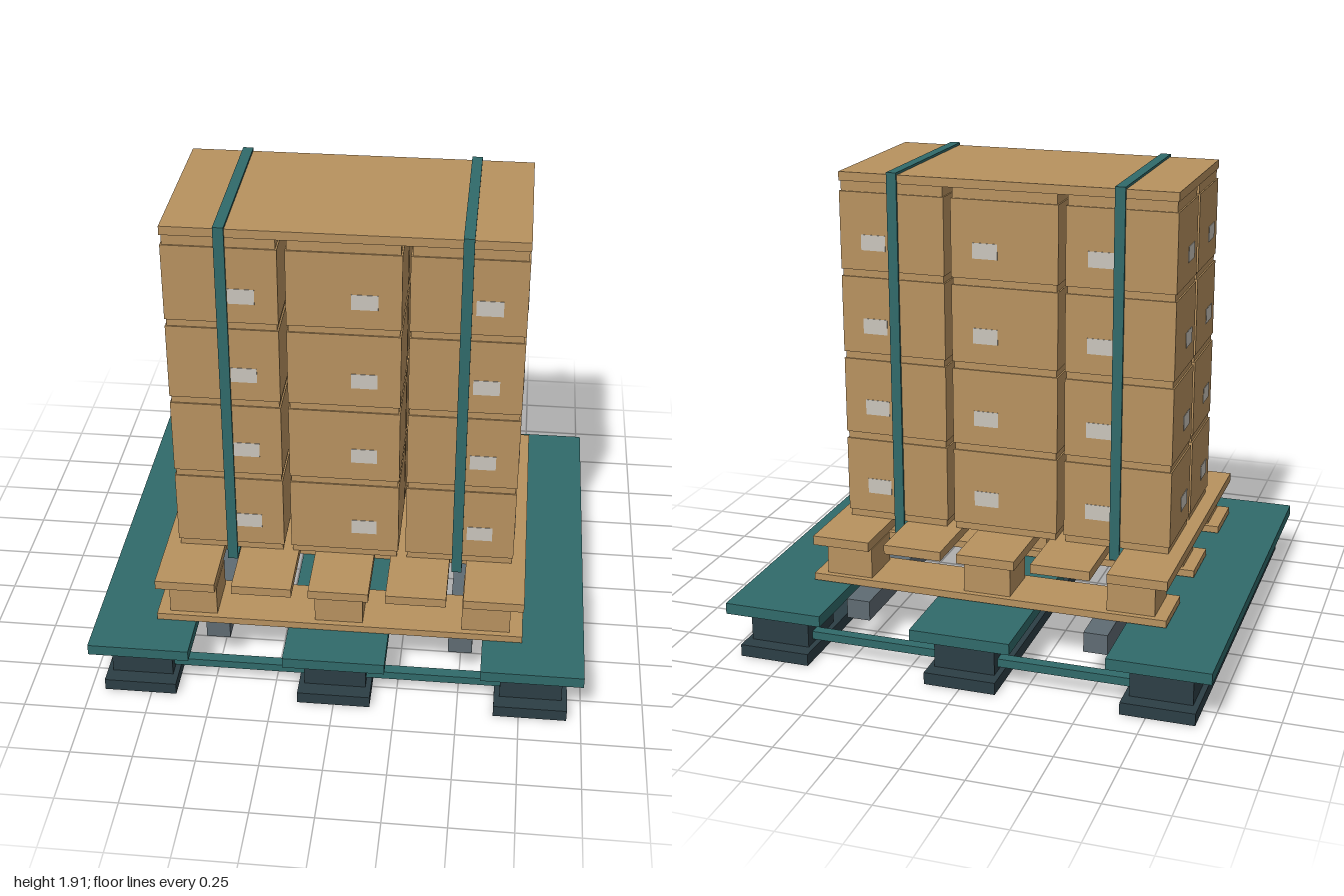
import * as THREE from 'three';

const material = (name, color) => {
  const m = new THREE.MeshStandardMaterial({ color });
  m.name = name;
  return m;
};

export function createModel() {
  const tan = material('cardboard and wood', 0xb8925f);
  const teal = material('teal', 0x306a6a);
  const dark = material('dark slate', 0x2c3e45);
  const grey = material('steel grey', 0x5f6b73);
  const paper = material('label paper', 0xcac5bc);

  const root = new THREE.Group();
  root.name = 'loadedPallet';
  const group = (name) => {
    const g = new THREE.Group();
    g.name = name;
    root.add(g);
    return g;
  };
  // Box given by its minimum and maximum on each axis
  const box = (parent, name, mat, [x0, x1], [y0, y1], [z0, z1]) => {
    const mesh = new THREE.Mesh(new THREE.BoxGeometry(x1 - x0, y1 - y0, z1 - z0), mat);
    mesh.position.set((x0 + x1) / 2, (y0 + y1) / 2, (z0 + z1) / 2);
    mesh.name = name;
    parent.add(mesh);
  };
  const span = (centre, size) => [centre - size / 2, centre + size / 2];
  const loadZ = 0.0625; // the upper pallet and load sit slightly forward

  // Carrier: three skids with blocks, deck boards and two cross rails
  const carrier = group('carrierPallet');
  for (const x of [-0.795, 0, 0.795]) {
    box(carrier, 'skid', dark, span(x, 0.295), [0, 0.05], [-0.875, 0.875]);
    for (const z of [-0.69, 0, 0.69])
      box(carrier, 'skidBlock', dark, span(x, 0.25), [0.05, 0.18], span(z, 0.245));
    box(carrier, 'deckBoard', teal, span(x, 0.412), [0.18, 0.226], [-0.875, 0.875]);
  }
  for (const z of [-0.75, 0.75])
    box(carrier, 'crossRail', teal, [-0.8, 0.8], [0.068, 0.102], span(z, 0.045));

  // Fork bars under the upper pallet
  const forks = group('forkBars');
  for (const x of [-0.5, 0.5])
    box(forks, 'forkBar', grey, span(x, 0.098), [0.145, 0.228], [-0.69, 0.67]);

  // Wooden pallet: base boards, nine blocks, five top boards
  const pallet = group('woodenPallet');
  for (const dz of [-0.5, 0, 0.5]) {
    box(pallet, 'baseBoard', tan, [-0.75, 0.75], [0.23, 0.26], span(loadZ + dz, 0.245));
    for (const x of [-0.6, 0, 0.6])
      box(pallet, 'palletBlock', tan, span(x, 0.196), [0.26, 0.387], span(loadZ + dz, 0.196));
  }
  for (let i = -2; i <= 2; i++)
    box(pallet, 'topBoard', tan, span(i * 0.314, 0.245), [0.387, 0.426], span(loadZ, 1.245));

  // Cartons: each has an inset base, a body and labels on its outer sides
  const cartons = group('cartons');
  const w = 0.445, d = 0.347, t = 0.004;
  const pitch = 0.35;
  for (let layer = 0; layer < 4; layer++) {
    const y = 0.426 + layer * pitch;
    const labelY = [y + 0.113, y + 0.177];
    for (const col of [-1, 0, 1]) {
      const x = col * 0.475;
      for (const row of [-1, 1]) {
        const z = loadZ + row * 0.1885;
        box(cartons, 'cartonBase', tan, span(x, w - 0.012), [y, y + 0.03], span(z, d - 0.012));
        box(cartons, 'cartonBody', tan, span(x, w), [y + 0.03, y + pitch], span(z, d));
        box(cartons, 'label', paper, span(x + 0.08, 0.104), labelY, span(z + row * d / 2, t));
        if (col !== 0)
          box(cartons, 'label', paper, span(x + col * w / 2, t), labelY, span(z + 0.068, 0.104));
        if (layer === 3)
          box(cartons, 'cartonTop', tan, span(x, w - 0.012), [y + pitch, 1.87], span(z, d - 0.012));
      }
    }
  }
  box(cartons, 'topSheet', tan, [-0.698, 0.698], [1.868, 1.904], span(loadZ, 0.724));

  // Straps looping round the load and under the top boards
  const straps = group('straps');
  const front = loadZ + 0.373, back = loadZ - 0.373, thick = 0.01;
  for (const x of [-0.47, 0.467]) {
    const sx = span(x, 0.042);
    box(straps, 'strapFront', teal, sx, [0.376, 1.914], [front - thick, front]);
    box(straps, 'strapBack', teal, sx, [0.376, 1.914], [back, back + thick]);
    box(straps, 'strapTop', teal, sx, [1.904, 1.914], [back + thick, front - thick]);
    box(straps, 'strapBottom', teal, sx, [0.376, 0.386], [back + thick, front - thick]);
  }
  return root;
}
